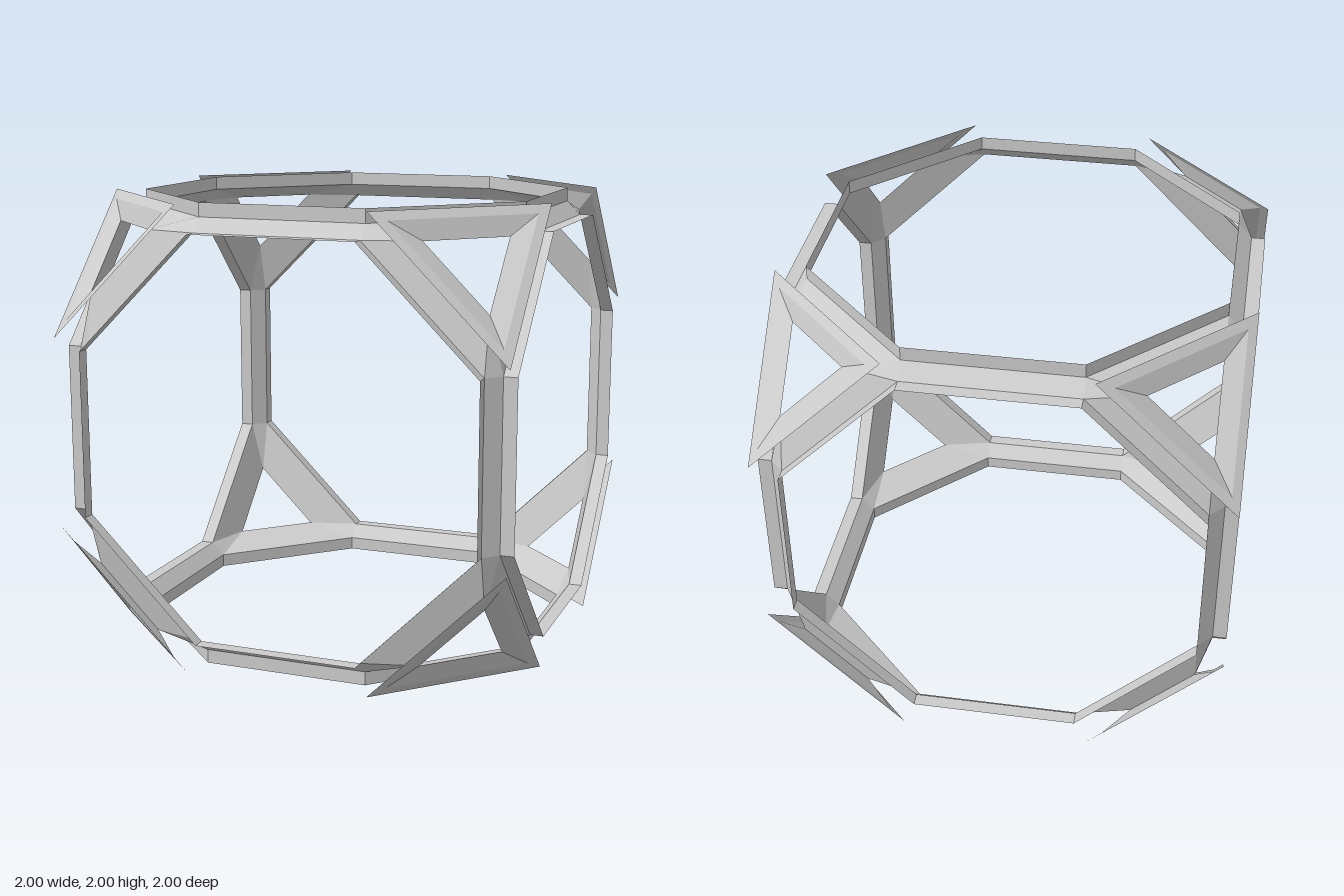
import * as THREE from 'three';

const Q = Math.SQRT2 - 1;      // half edge of the truncated cube
const IN = 0.88;               // apothem of the octagonal openings
const H = IN * Q;              // half side of the openings
const BASE = 0.94;             // depth of the channel floor
const HOLE = IN - 0.276;       // low coordinate of the triangular hole corners
const RIM = [0.964, 0.486];    // crease line on the triangular plates

const material = new THREE.MeshStandardMaterial({
  color: 0xcccccc, flatShading: true, side: THREE.DoubleSide,
});

// Mesh from a list of flat triangles and quads, moved by a point rule
function facesMesh(name, faces, move, flip) {
  const pos = [];
  for (const face of faces) {
    const f = face.map(move);
    if (flip) f.reverse();
    for (let i = 1; i < f.length - 1; i++) pos.push(...f[0], ...f[i], ...f[i + 1]);
  }
  const geometry = new THREE.BufferGeometry();
  geometry.setAttribute('position', new THREE.Float32BufferAttribute(pos, 3));
  geometry.computeVertexNormals();
  const mesh = new THREE.Mesh(geometry, material);
  mesh.name = name;
  return mesh;
}

// Cyclic shift of the axes
const turn = (p, k) => [p[(3 - k) % 3], p[(4 - k) % 3], p[(5 - k) % 3]];

export function createModel() {
  const frame = new THREE.Group();
  frame.name = 'truncatedCubeFrame';
  frame.position.y = 1;

  // One side of a corner: plate rim, plate slope, inner web, lip of the opening
  const tip = [[1, Q, 1], [Q, 1, 1]];
  const rim = [[RIM[0], RIM[1], RIM[0]], [RIM[1], RIM[0], RIM[0]]];
  const hole = [[IN, HOLE, IN], [HOLE, IN, IN]];
  const low = [[IN, H, BASE], [H, IN, BASE]];
  const top = [[IN, H, 1], [H, IN, 1]];
  const band = (a, b) => [a[0], b[0], b[1], a[1]];
  const plate = [band(tip, rim), band(rim, hole)];
  const web = [
    band(low, hole),
    [low[0], [BASE, H, IN], hole[0]],
  ];
  const lip = [[low[0], low[1], top[1], top[0]]];
  const threeSides = (faces) =>
    [0, 1, 2].flatMap((k) => faces.map((f) => f.map((p) => turn(p, k))));

  // Eight mirrored corners
  for (const sx of [-1, 1]) for (const sy of [-1, 1]) for (const sz of [-1, 1]) {
    const mirror = (p) => [p[0] * sx, p[1] * sy, p[2] * sz];
    const flip = sx * sy * sz < 0;
    const corner = new THREE.Group();
    corner.name = 'corner';
    corner.add(facesMesh('trianglePlate', threeSides(plate), mirror, flip));
    corner.add(facesMesh('innerWeb', threeSides(web), mirror, flip));
    corner.add(facesMesh('openingLip', threeSides(lip), mirror, flip));
    frame.add(corner);
  }

  // Twelve channel-shaped bars along the cube edges
  const profile = [[IN, 1], [IN, BASE], [BASE, IN], [1, IN]];
  const bar = [0, 1, 2].map((i) => {
    const [a, b] = [profile[i], profile[i + 1]];
    return [[-H, ...a], [-H, ...b], [H, ...b], [H, ...a]];
  });
  for (let k = 0; k < 3; k++) for (const s of [-1, 1]) for (const t of [-1, 1]) {
    const place = (p) => turn([p[0], p[1] * s, p[2] * t], k);
    frame.add(facesMesh('edgeBar', bar, place, s * t > 0));
  }

  const model = new THREE.Group();
  model.name = 'model';
  model.add(frame);
  return model;
}
